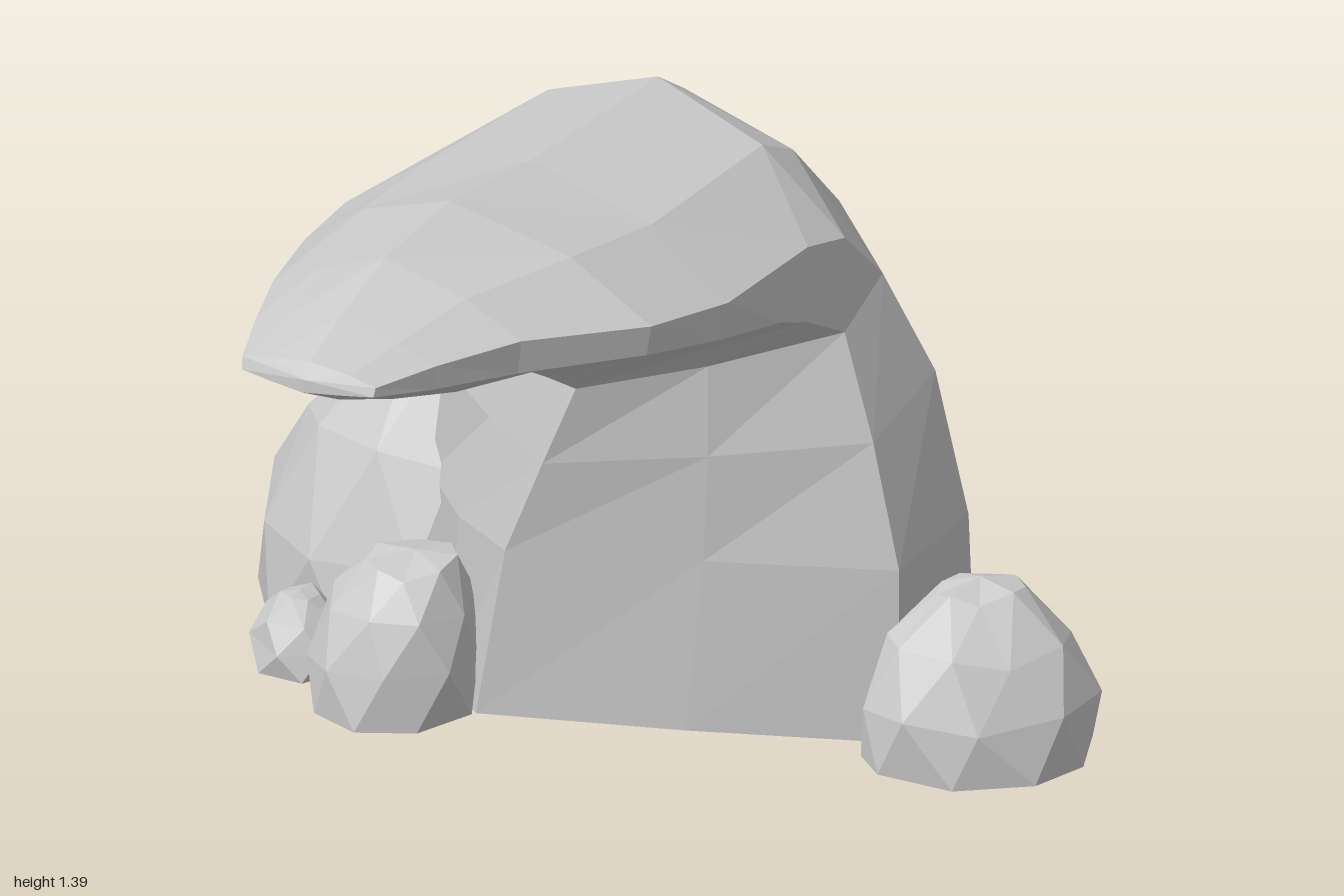
import * as THREE from 'three';

const material = new THREE.MeshStandardMaterial({
  color: 0xcccccc, flatShading: true, side: THREE.DoubleSide,
});

// Small seeded generator for rough stone
function seeded(seed) {
  let s = seed;
  return () => {
    s = (s * 16807) % 2147483647;
    return s / 2147483647;
  };
}

// Skin equal-sized rings of points and close the last ring with an end point
function loft(rings, end, name) {
  const n = rings[0].length;
  const points = [...rings.flat(), end];
  const index = [];
  for (let i = 0; i < rings.length; i++) {
    for (let j = 0; j < n; j++) {
      const a = i * n + j;
      const b = i * n + (j + 1) % n;
      if (i === rings.length - 1) index.push(a, points.length - 1, b);
      else index.push(a, a + n, b, b, a + n, b + n);
    }
  }
  const geometry = new THREE.BufferGeometry().setFromPoints(points);
  geometry.setIndex(index);
  const flat = geometry.toNonIndexed();
  flat.computeVertexNormals();
  const mesh = new THREE.Mesh(flat, material);
  mesh.name = name;
  return mesh;
}

// Leaning pillar that bends forward into a tapering overhang
function overhangingRock() {
  const rand = seeded(77);
  // inner z, inner y, outer z, outer y, left x, right x, inner crease x, centre x,
  // then depths of the front corner, back corner and shoulder
  const sections = [
    [-0.09, 0.01, -0.98, 0.01, -0.50, 0.61, -0.24, 0.14, 0.34, 0.70, 0.96],
    [-0.09, 0.40, -0.90, 0.45, -0.50, 0.63, -0.17, 0.10, 0.36, 0.72, 0.95],
    [-0.09, 0.62, -0.81, 0.82, -0.45, 0.57, -0.08, 0.05, 0.41, 0.72, 0.94],
    [-0.09, 0.81, -0.70, 1.09, -0.37, 0.50, 0.00, 0.01, 0.44, 0.72, 0.94],
    [-0.05, 0.835, -0.55, 1.32, -0.37, 0.49, 0.00, 0.00, 0.36, 0.64, 0.90],
    [0.04, 0.89, -0.44, 1.39, -0.39, 0.48, 0.00, 0.00, 0.32, 0.60, 0.87],
    [0.16, 0.96, 0.05, 1.385, -0.45, 0.475, -0.02, -0.03, 0.36, 0.56, 0.85],
    [0.36, 1.01, 0.34, 1.40, -0.41, 0.43, -0.03, -0.06, 0.38, 0.56, 0.84],
    [0.62, 1.06, 0.62, 1.38, -0.33, 0.27, -0.04, -0.06, 0.38, 0.62, 0.84],
    [0.83, 1.14, 0.82, 1.33, -0.26, 0.18, -0.05, -0.05, 0.38, 0.66, 0.84],
    [0.99, 1.22, 0.97, 1.285, -0.20, 0.12, -0.05, -0.04, 0.35, 0.65, 0.85],
  ];
  const rings = sections.map(([iz, iy, oz, oy, left, right, crease, mid, front, back, shoulder], k) => {
    const rough = k === 0 || k === sections.length - 1 ? 0 : 0.02;
    const leftFront = front * 0.78;
    // depth from inner to outer side, and sideways reach
    const outline = [
      [0, 0], [leftFront * 0.46, -0.5], [leftFront, -0.98], [back + 0.03, -1], [shoulder, -0.6],
      [1, 0], [shoulder, 0.6], [back, 1], [front, 0.99], [front * 0.46, 0.5],
    ];
    return outline.map(([t, side], j) => {
      const d = j === 0 || j === 5 ? t : t + (rand() - 0.5) * rough * 2;
      const start = j < 2 || j === 9 ? crease : mid;
      const reach = side < 0 ? start - left : right - start;
      return new THREE.Vector3(
        start + side * reach * (1 - rand() * rough),
        THREE.MathUtils.lerp(iy, oy, d),
        THREE.MathUtils.lerp(iz, oz, d),
      );
    });
  });
  return loft(rings, new THREE.Vector3(-0.04, 1.25, 0.99), 'overhangingRock');
}

// Faceted dome, open underneath: an oval turned about y, with a leaning, blunt or pointed top
function boulder(name, { x, z, rx, rz, turn = 0, height, lean = 0, leanZ = 0, top = 0.45, sides = 8, seed }) {
  const rand = seeded(seed);
  const levels = [[0, 0.98], [0.33, 1], [0.66, 0.6 + top * 0.48], [0.91, top]];
  const rings = levels.map(([h, r], k) => Array.from({ length: sides }, (_, j) => {
    const angle = (j + k * 0.5 + (rand() - 0.5) * 0.3) / sides * Math.PI * 2;
    const radius = r * (1.03 - rand() * 0.06);
    const lift = k === 0 ? 0 : (rand() - 0.5) * 0.08;
    const u = Math.cos(angle) * radius * rx;
    const v = Math.sin(angle) * radius * rz;
    return new THREE.Vector3(
      x + u * Math.cos(turn) - v * Math.sin(turn) + lean * h * h,
      0.01 + height * (h + lift),
      z + u * Math.sin(turn) + v * Math.cos(turn) + leanZ * h * h,
    );
  }));
  return loft(rings, new THREE.Vector3(x + lean, height, z + leanZ), name);
}

export function createModel() {
  const group = new THREE.Group();
  group.name = 'rockFormation';
  group.add(
    overhangingRock(),
    boulder('largeBoulder', {
      x: -0.66, z: -0.51, rx: 0.385, rz: 0.3, turn: Math.PI / 4,
      height: 0.675, lean: 0.1, leanZ: -0.04, top: 0.38, sides: 9, seed: 11,
    }),
    boulder('middleBoulder', {
      x: -0.425, z: -0.06, rx: 0.18, rz: 0.18, height: 0.355, lean: 0.04, leanZ: -0.03, top: 0.55, seed: 23,
    }),
    boulder('pebble', {
      x: -0.685, z: -0.13, rx: 0.105, rz: 0.105, height: 0.18, top: 0.4, sides: 6, seed: 31,
    }),
    boulder('sideBoulder', {
      x: 0.775, z: -0.435, rx: 0.255, rz: 0.205, turn: -Math.PI / 4,
      height: 0.385, lean: -0.03, leanZ: -0.06, top: 0.38, sides: 9, seed: 47,
    }),
  );
  return group;
}
